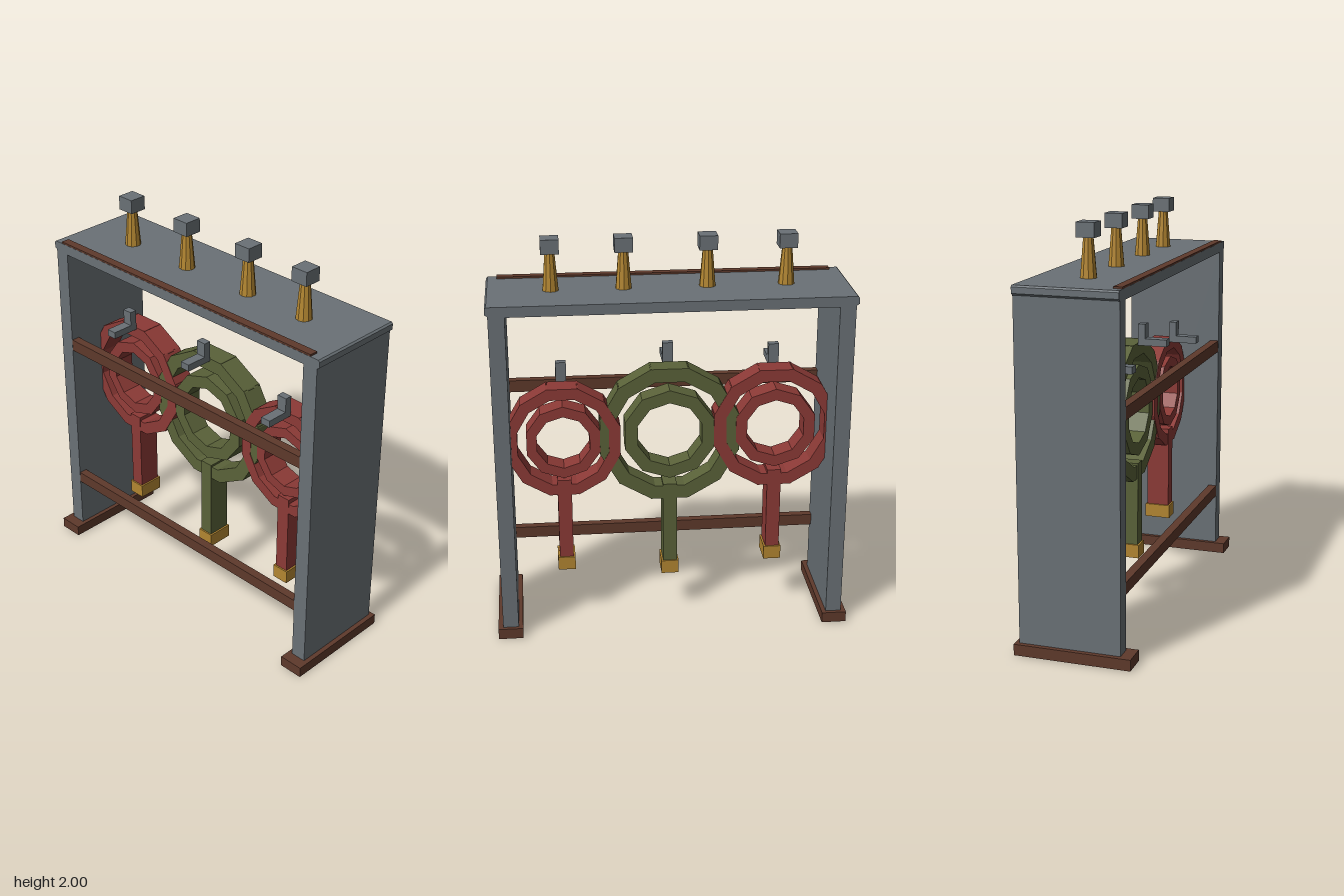
import * as THREE from 'three';

const mat = (name, color) => {
  const m = new THREE.MeshStandardMaterial({ color });
  m.name = name;
  return m;
};

export function createModel() {
  const grey = mat('slate grey', 0x6a7176);
  const red = mat('brick red', 0x8c3a36);
  const green = mat('olive green', 0x5a6239);
  const brown = mat('dark brown', 0x5e392b);
  const gold = mat('ochre gold', 0xb38631);

  const model = new THREE.Group();
  model.name = 'ringFrame';
  const MID = -0.018; // depth centre of the frame

  const add = (parent, name, geometry, material, x = 0, y = 0, z = 0) => {
    const mesh = new THREE.Mesh(geometry, material);
    mesh.name = name;
    mesh.position.set(x, y, z);
    parent.add(mesh);
    return mesh;
  };
  // Box given by its low and high limits on each axis
  const box = (parent, name, material, [x0, x1], [y0, y1], [z0, z1]) =>
    add(parent, name, new THREE.BoxGeometry(x1 - x0, y1 - y0, z1 - z0), material,
      (x0 + x1) / 2, (y0 + y1) / 2, (z0 + z1) / 2);

  // Side walls on their feet
  for (const s of [-1, 1]) {
    const span = (a, b) => (s > 0 ? [a, b] : [-b, -a]);
    box(model, 'sideWall', grey, span(0.787, 0.865), [0, 1.7], [-0.267, 0.232]);
    box(model, 'foot', brown, span(0.765, 0.889), [0.001, 0.056], [-0.287, 0.287]);
  }

  // Top slab with chamfered ends
  const slab = new THREE.Shape([
    [-0.862, 1.694], [0.862, 1.694], [0.868, 1.702], [0.878, 1.708], [0.878, 1.737],
    [0.87, 1.745], [-0.87, 1.745], [-0.878, 1.737], [-0.878, 1.708], [-0.868, 1.702],
  ].map(([x, y]) => new THREE.Vector2(x, y)));
  add(model, 'topSlab', new THREE.ExtrudeGeometry(slab, { depth: 0.5, bevelEnabled: false }),
    grey, 0, 0, MID - 0.25);

  // Front rails
  box(model, 'topRail', brown, [-0.825, 0.825], [1.7, 1.754], [0.188, 0.231]);
  box(model, 'middleRail', brown, [-0.82, 0.82], [1.15, 1.211], [0.188, 0.231]);
  box(model, 'lowerRail', brown, [-0.82, 0.82], [0.327, 0.386], [0.188, 0.231]);

  // Tapered pegs with square caps
  for (const x of [-0.57, -0.186, 0.218, 0.567]) {
    const peg = new THREE.Group();
    peg.name = 'peg';
    peg.position.set(x, 1.745, MID);
    const cone = new THREE.CylinderGeometry(0.024, 0.04, 0.19, 10).toNonIndexed();
    cone.computeVertexNormals();
    add(peg, 'pegStem', cone, gold, 0, 0.095, 0);
    add(peg, 'pegCap', new THREE.BoxGeometry(0.088, 0.07, 0.088), grey, 0, 0.22, 0);
    model.add(peg);
  }

  // Polygon outline with a corner at the top
  const polygon = (Type, r, n) => new Type(Array.from({ length: n }, (_, i) => {
    const a = Math.PI / 2 + (i * 2 * Math.PI) / n;
    return new THREE.Vector2(r * Math.cos(a), r * Math.sin(a));
  }));

  // Ring on a post: segmented outer ring, ten-sided inner ring, post, base and clip
  const ringStand = (x, y, r, depth, postTop, baseBottom, material) => {
    const stand = new THREE.Group();
    stand.name = 'ringStand';
    stand.position.set(x, 0, MID);
    model.add(stand);

    const thick = r * 0.2;
    const segment = new THREE.BoxGeometry(r * 0.555, thick, depth);
    for (let i = 0; i < 12; i++) {
      const a = (i * Math.PI) / 6;
      const rr = r - thick / 2;
      add(stand, 'outerRingSegment', segment, material, -rr * Math.sin(a), y + rr * Math.cos(a), 0)
        .rotation.z = a;
    }

    const inner = polygon(THREE.Shape, r * 0.675, 10);
    inner.holes.push(polygon(THREE.Path, r * 0.485, 10));
    add(stand, 'innerRing', new THREE.ExtrudeGeometry(inner, { depth, bevelEnabled: false }),
      material, 0, y, -depth / 2);

    box(stand, 'post', material, [-0.035, 0.035], [baseBottom + 0.03, postTop], [-0.059, 0.059]);
    box(stand, 'postBase', gold, [-0.044, 0.044], [baseBottom, baseBottom + 0.07], [-0.067, 0.067]);

    // L-shaped clip reaching forward from the ring top
    const c = y + r - 0.01;
    box(stand, 'clipArm', grey, [-0.026, 0.026], [c, c + 0.035], [0.056, 0.203]);
    box(stand, 'clipPlate', grey, [-0.026, 0.026], [c + 0.035, c + 0.108], [0.056, 0.093]);
  };
  ringStand(-0.53, 1.008, 0.309, 0.114, 0.78, 0.28, red);
  ringStand(0, 0.993, 0.348, 0.108, 0.725, 0.224, green);
  ringStand(0.53, 0.973, 0.283, 0.114, 0.77, 0.272, red);

  return model;
}
